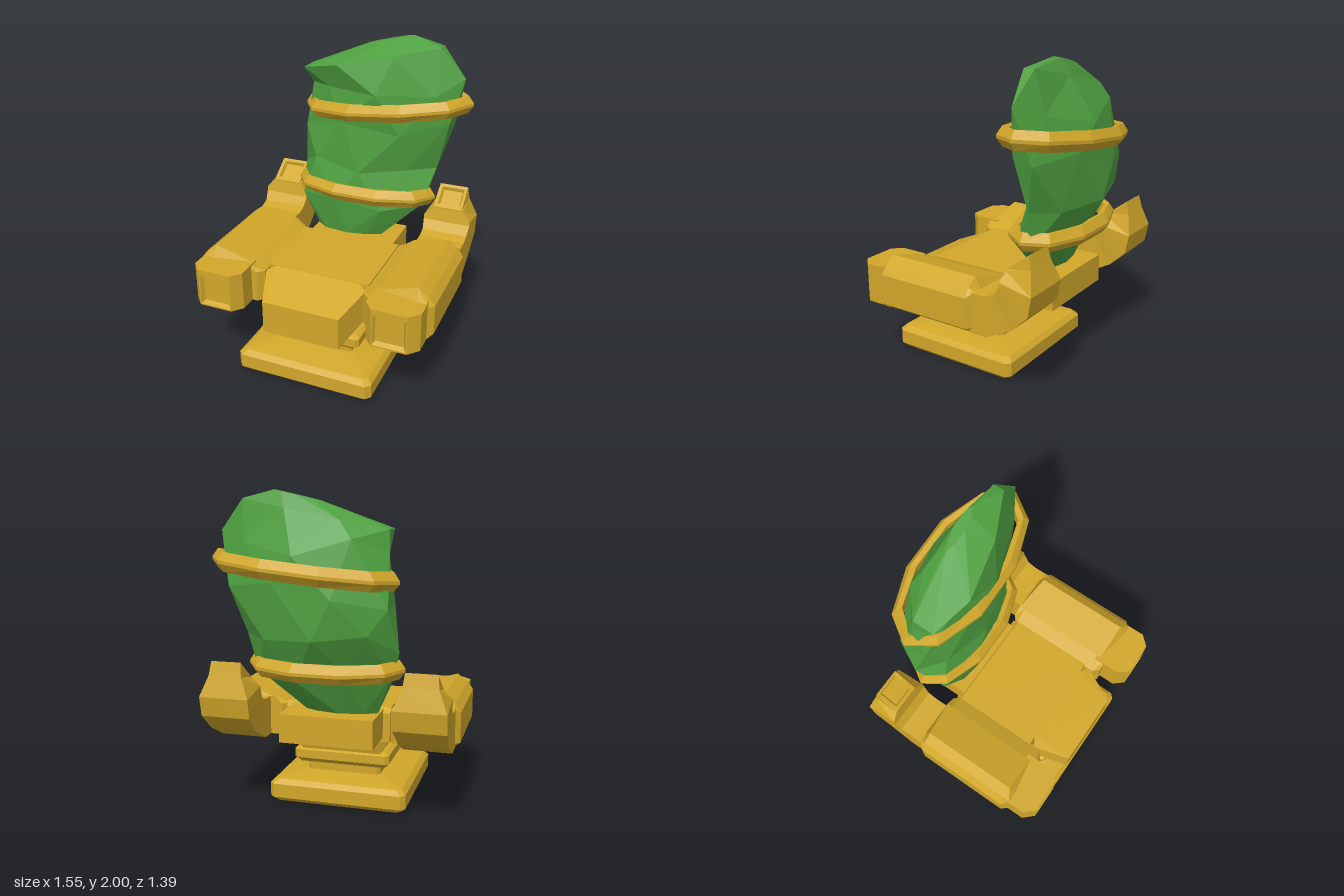
import * as THREE from 'three';

const gold = new THREE.MeshStandardMaterial({ color: 0xd1a72a, flatShading: true });
gold.name = 'gold';
const green = new THREE.MeshStandardMaterial({ color: 0x4fa040, flatShading: true });
green.name = 'crystal green';

// Joins cross-sections (lists of [x, y, z]) into a faceted solid.
// closed: last section meets the first, otherwise both ends are capped.
// stagger: sections alternate by half a step, giving diamond facets.
function loft(sections, { closed = false, stagger = false } = {}) {
  const tris = [];
  const n = sections[0].length;
  const count = closed ? sections.length : sections.length - 1;
  for (let s = 0; s < count; s++) {
    const a = sections[s], b = sections[(s + 1) % sections.length];
    for (let i = 0; i < n; i++) {
      const j = (i + 1) % n;
      if (stagger && s % 2) tris.push([a[i], b[i], b[j]], [a[i], b[j], a[j]]);
      else tris.push([a[i], b[i], a[j]], [a[j], b[i], b[j]]);
    }
  }
  if (!closed) {
    const cap = (sec, flip) => {
      const c = [0, 1, 2].map(k => sec.reduce((t, p) => t + p[k], 0) / n);
      for (let i = 0; i < n; i++) {
        const p = sec[i], q = sec[(i + 1) % n];
        tris.push(flip ? [c, q, p] : [c, p, q]);
      }
    };
    cap(sections[0], false);
    cap(sections[sections.length - 1], true);
  }
  // Turn all faces outward, judged by the enclosed volume
  let volume = 0;
  for (const [p, q, r] of tris) {
    volume += p[0] * (q[1] * r[2] - q[2] * r[1])
      + p[1] * (q[2] * r[0] - q[0] * r[2]) + p[2] * (q[0] * r[1] - q[1] * r[0]);
  }
  if (volume < 0) tris.forEach(t => t.reverse());
  const g = new THREE.BufferGeometry();
  g.setAttribute('position', new THREE.Float32BufferAttribute(tris.flat(2), 3));
  g.computeVertexNormals();
  return g;
}

// Rectangle across z
const rectZ = (x0, x1, y0, y1, z) => [[x0, y0, z], [x1, y0, z], [x1, y1, z], [x0, y1, z]];

// Rectangle lying flat at height y
const rectY = (w, z0, z1, y) => [[-w, y, z0], [w, y, z0], [w, y, z1], [-w, y, z1]];

// Square with cut corners lying flat at height y
function squareY(h, y, cut, zc) {
  const k = h - cut;
  return [[h, k], [k, h], [-k, h], [-h, k], [-h, -k], [-k, -h], [k, -h], [h, -k]]
    .map(([x, z]) => [x, y, z + zc]);
}

export function createModel() {
  const group = new THREE.Group();
  const add = (name, geometry, material = gold, parent = group) => {
    const m = new THREE.Mesh(geometry, material);
    m.name = name;
    parent.add(m);
  };

  // Stepped pedestal
  add('base', loft([[0.42, 0], [0.45, 0.03], [0.45, 0.12], [0.42, 0.15], [0.25, 0.18]]
    .map(([h, y]) => squareY(h, y, 0.03, 0.22))));
  add('neck', loft([[0.245, 0.17], [0.245, 0.24], [0.29, 0.245], [0.317, 0.275], [0.317, 0.33],
    [0.29, 0.345]].map(([h, y]) => squareY(h, y, 0.02, 0.207))));
  add('upperNeck', loft([rectY(0.26, -0.095, 0.467, 0.34), rectY(0.33, -0.13, 0.467, 0.46)]));

  // Central body, sloping nose and rear seat
  add('body', loft([rectZ(-0.34, 0.34, 0.45, 0.64, -0.18), rectZ(-0.34, 0.34, 0.45, 0.67, -0.14),
    rectZ(-0.34, 0.34, 0.45, 0.67, 0.415)]));
  const noseSection = (w, y0, y1, cut, z, zSide) => [[-w, y0, zSide], [w, y0, zSide],
    [w, y1 - cut * 0.4, zSide], [w - cut, y1, z], [-w + cut, y1, z], [-w, y1 - cut * 0.4, zSide]];
  add('nose', loft([noseSection(0.335, 0.45, 0.67, 0.06, 0.41, 0.45),
    noseSection(0.25, 0.35, 0.56, 0.005, 0.675, 0.675)]));
  add('rearSeat', loft([rectZ(-0.295, 0.295, 0.48, 0.66, -0.445), rectZ(-0.295, 0.295, 0.48, 0.66, -0.1)]));

  // Side arms, one on each side
  const armProfile = [[0.735, 0.45], [0.775, 0.48], [0.775, 0.67], [0.735, 0.72],
    [0.67, 0.77], [0.43, 0.70], [0.33, 0.655], [0.33, 0.45]];
  // inner z, inner y, outer z, outer y, half width along the curled horn
  const hornPath = [
    [-0.15, 0.70, -0.15, 0.45, 0.15], [-0.27, 0.70, -0.28, 0.45, 0.15],
    [-0.33, 0.72, -0.45, 0.54, 0.15], [-0.37, 0.78, -0.56, 0.645, 0.157],
    [-0.375, 0.81, -0.585, 0.77, 0.157], [-0.385, 0.865, -0.55, 0.90, 0.105],
    [-0.385, 0.875, -0.53, 0.985, 0.095], [-0.405, 0.89, -0.515, 0.97, 0.075],
    [-0.42, 0.87, -0.52, 0.945, 0.065],
  ];
  for (const side of [1, -1]) {
    const arm = new THREE.Group();
    arm.name = side > 0 ? 'leftArm' : 'rightArm';
    group.add(arm);

    const full = z => armProfile.map(([x, y]) => [side * x, y, z]);
    const end = z => armProfile.map(([x, y]) =>
      [side * THREE.MathUtils.clamp(x, 0.37, 0.735), Math.min(y, 0.70), z]);
    add('armBeam', loft([end(-0.19), full(-0.15), full(0.48), end(0.52)]), gold, arm);

    // Front block with a shallow socket
    const block = (x0, x1, y0, y1, z) => rectZ(side * x0, side * x1, y0, y1, z);
    add('armFront', loft([
      block(0.405, 0.74, 0.45, 0.70, 0.45), block(0.405, 0.74, 0.45, 0.70, 0.63),
      block(0.46, 0.68, 0.45, 0.70, 0.695), block(0.468, 0.672, 0.46, 0.665, 0.695),
      block(0.48, 0.655, 0.478, 0.655, 0.67),
    ]), gold, arm);

    // Horn curling up behind
    const cx = side * 0.595;
    add('horn', loft(hornPath.map(([zi, yi, zo, yo, w]) =>
      [[cx - w, yi, zi], [cx + w, yi, zi], [cx + w, yo, zo], [cx - w, yo, zo]])), gold, arm);
  }

  // Ten-sided bands around the crystal: bevelled section swept round an ellipse
  const section = [[0, 0.008], [0.035, 0.058], [0.07, 0.05], [0.07, -0.045], [0.035, -0.058], [0, -0.012]];
  const band = (cx, cy, cz, rx, rz, tiltX, tiltZ) => loft(Array.from({ length: 10 }, (_, i) => {
    const a = i * Math.PI / 5;
    return section.map(([d, h]) => {
      const x = (rx - d) * Math.cos(a), z = (rz - d) * Math.sin(a);
      return [cx + x, cy + h + tiltX * x + tiltZ * z, cz + z];
    });
  }), { closed: true });
  add('lowerBand', band(0.022, 0.96, -0.352, 0.49, 0.245, 0, 0.06));
  add('upperBand', band(0.133, 1.54, -0.425, 0.575, 0.288, 0.105, 0));

  // Rough crystal: y, slope of y along x, x range, back and front z,
  // thinning towards the +x edge, skew of z along x
  let seed = 7;
  const rand = () => (seed = (seed * 16807) % 2147483647) / 2147483647;
  const levels = [
    [0.655, 0, -0.28, 0.17, -0.33, -0.19, 0, 0],
    [0.89, 0, -0.385, 0.44, -0.47, -0.155, 0.1, 0.02],
    [1.12, 0, -0.44, 0.50, -0.62, -0.18, 0.2, 0],
    [1.40, 0.05, -0.395, 0.585, -0.65, -0.18, 0.35, 0],
    [1.68, 0.08, -0.375, 0.655, -0.62, -0.17, 0.55, 0],
    [1.85, 0.2, -0.37, 0.50, -0.52, -0.185, 0.5, 0.05],
    [1.93, 0.23, 0.02, 0.30, -0.46, -0.39, 0, 0.01],
  ];
  const steps = 8;
  add('crystal', loft(levels.map(([y, slope, x0, x1, z0, z1, thin, skew], l) =>
    Array.from({ length: steps }, (_, i) => {
      const half = l % 2;
      const a = (i + half / 2) * 2 * Math.PI / steps;
      const r = half ? 1.08 : 1;
      const keep = Math.abs(Math.cos(a)) > 0.9 || (!half && i % 2 === 0);
      const wobble = keep ? 1 : 0.87 + 0.13 * rand();
      const u = Math.cos(a) * r * wobble;
      const v = Math.sin(a) * r * wobble * (1 - thin * Math.max(0, u));
      const x = (x0 + x1) / 2 + u * (x1 - x0) / 2;
      const z = (z0 + z1) / 2 + v * (z1 - z0) / 2 - skew * u;
      const lift = l > 0 && l < 5 ? (rand() - 0.5) * 0.14 : 0;
      return [x, y + slope * x + lift, z];
    })), { stagger: true }), green);

  return group;
}
